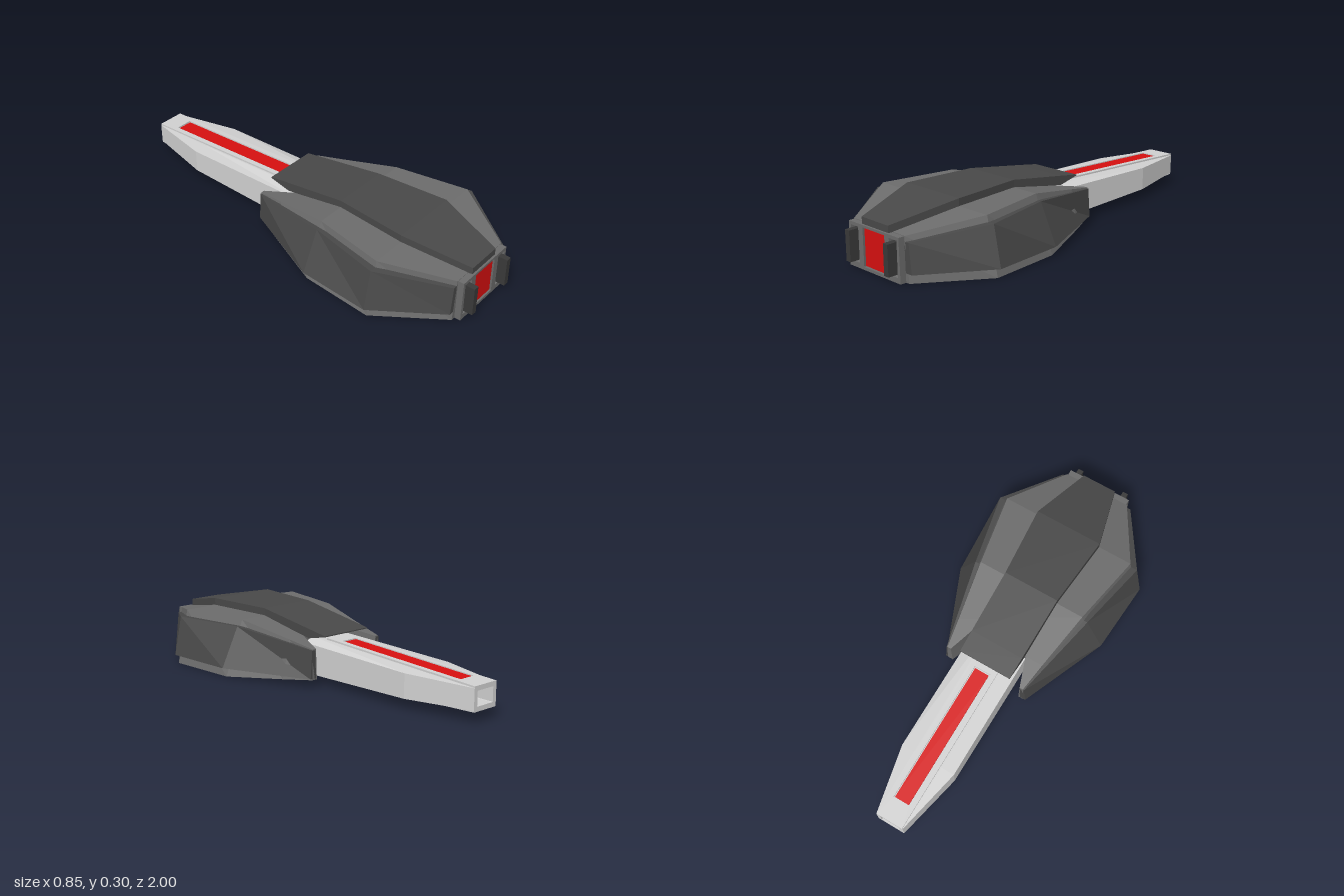
import * as THREE from 'three';

const mat = (name, color) => Object.assign(new THREE.MeshStandardMaterial({ color }), { name });

// Skin a list of [z, points] sections, front to back; points run counter-clockwise seen from the front.
function loft(sections) {
  const pos = [];
  const tri = (...pts) => pts.forEach((p) => pos.push(...p));
  const rings = sections.map(([z, pts]) => pts.map(([x, y]) => [x, y, z]));
  const n = rings[0].length;
  for (let i = 0; i < rings.length - 1; i++) {
    for (let j = 0; j < n; j++) {
      const k = (j + 1) % n, f = rings[i], b = rings[i + 1];
      tri(f[j], b[j], f[k]);
      tri(f[k], b[j], b[k]);
    }
  }
  const first = rings[0], last = rings[rings.length - 1];
  for (let j = 1; j < n - 1; j++) {
    tri(first[0], first[j], first[j + 1]);
    tri(last[0], last[j + 1], last[j]);
  }
  const geo = new THREE.BufferGeometry();
  geo.setAttribute('position', new THREE.Float32BufferAttribute(pos, 3));
  geo.computeVertexNormals();
  return geo;
}

const flip = (pts) => pts.map(([x, y]) => [-x, y]).reverse();
const flipSections = (s) => s.map(([z, pts]) => [z, flip(pts)]);
// Complete a symmetric section from its +x half, listed bottom to top.
const whole = (half) => [...half, ...flip(half)];

function rectPath(path, x0, y0, x1, y1) {
  path.moveTo(x0, y0);
  path.lineTo(x1, y0);
  path.lineTo(x1, y1);
  path.lineTo(x0, y1);
  path.closePath();
  return path;
}

export function createModel() {
  const group = new THREE.Group();
  const grey = mat('hull grey', 0x6c6c6c);
  const dark = mat('armour dark grey', 0x494949);
  const black = mat('fin charcoal', 0x3a3a3a);
  const light = mat('barrel light grey', 0xd2d2d2);
  const red = mat('glow red', 0xd81010);
  const add = (name, geo, material) => {
    const mesh = new THREE.Mesh(geo, material);
    mesh.name = name;
    group.add(mesh);
    return mesh;
  };

  // Main hull
  add('hull', loft([
    [0.93, whole([[0.19, 0], [0.17, 0.205]])],
    [0.63, whole([[0.405, 0], [0.345, 0.265]])],
    [0.27, whole([[0.38, 0], [0.28, 0.265]])],
    [-0.02, whole([[0.272, 0.027], [0.23, 0.211]])],
  ]), grey);

  // Prongs either side of the barrel
  const prong = [
    [-0.02, [[0.14, 0.027], [0.272, 0.027], [0.23, 0.211], [0.14, 0.211]]],
    [-0.16, [[0.185, 0.04], [0.213, 0.04], [0.208, 0.185], [0.19, 0.185]]],
  ];
  add('leftProng', loft(prong), grey);
  add('rightProng', loft(flipSections(prong)), grey);

  // Side armour
  const side = [
    [0.93, [[0.165, 0.042], [0.208, 0.042], [0.193, 0.18], [0.155, 0.18]]],
    [0.63, [[0.37, 0.045], [0.425, 0.045], [0.385, 0.235], [0.33, 0.235]]],
    [0.27, [[0.35, 0.045], [0.403, 0.045], [0.31, 0.235], [0.26, 0.235]]],
    [-0.16, [[0.19, 0.045], [0.223, 0.045], [0.213, 0.18], [0.195, 0.18]]],
  ];
  add('leftArmour', loft(side), dark);
  add('rightArmour', loft(flipSections(side)), dark);

  // Top armour, overhanging the barrel at the rear
  add('topArmour', loft([
    [0.95, 0.088, 0.2, 0.235],
    [0.63, 0.172, 0.26, 0.3],
    [0.27, 0.142, 0.26, 0.3],
    [-0.05, 0.137, 0.207, 0.252],
    [-0.16, 0.135, 0.23, 0.235],
  ].map(([z, w, y0, y1]) => [z, whole([[w, y0], [w, y1]])])), dark);

  // Front frame with a central window and two fin channels
  const frame = new THREE.Shape();
  [[-0.17, 0], [0.17, 0], [0.166, 0.203], [-0.166, 0.203]].forEach(([x, y], i) =>
    i ? frame.lineTo(x, y) : frame.moveTo(x, y));
  frame.holes.push(rectPath(new THREE.Path(), -0.073, 0.014, 0.073, 0.192));
  for (const s of [-1, 1]) {
    frame.holes.push(rectPath(new THREE.Path(), s * 0.128 - 0.025, 0.025, s * 0.128 + 0.025, 0.188));
  }
  const frameGeo = new THREE.ExtrudeGeometry(frame, { depth: 0.035, bevelEnabled: false });
  add('frontFrame', frameGeo.translate(0, 0, 0.925), grey);

  const panel = add('frontPanel', new THREE.BoxGeometry(0.136, 0.17, 0.025), red);
  panel.position.set(0, 0.103, 0.941);
  for (const s of [-1, 1]) {
    const fin = add(s > 0 ? 'leftFin' : 'rightFin', new THREE.BoxGeometry(0.028, 0.143, 0.075), black);
    fin.position.set(s * 0.128, 0.106, 0.9625);
  }

  // Barrel: tapering shell with a hollow muzzle
  const topY = (z) => 0.195 + (z + 0.16) * 0.0452;
  const botY = (z) => 0.02 - (z + 0.16) * 0.0476;
  const ring = (z, w, c, lo, hi) => whole([[c, botY(z)], [w, lo], [w, hi], [c, topY(z)]]);
  const muzzle = whole([[0.046, 0.074], [0.05, 0.075], [0.05, 0.142], [0.046, 0.143]]);
  add('barrel', loft([
    [0.05, ring(0.05, 0.14, 0.075, 0.035, 0.185)],
    [-0.67, ring(-0.67, 0.14, 0.075, 0.052, 0.166)],
    [-1, ring(-1, 0.07, 0.066, 0.06, 0.157)],
    [-1, muzzle],
    [-0.86, muzzle],
  ]), light);

  // Thin plate laid along the barrel slope, optionally slotted
  const plate = (w, z0, z1, thick, surface, lift, slot) => {
    const shape = rectPath(new THREE.Shape(), -w, -z0, w, -z1);
    if (slot) shape.holes.push(rectPath(new THREE.Path(), -0.042, 0.18, 0.042, 0.9));
    const geo = new THREE.ExtrudeGeometry(shape, { depth: thick, bevelEnabled: false });
    geo.rotateX(-Math.PI / 2);
    const p = geo.attributes.position;
    for (let i = 0; i < p.count; i++) p.setY(i, p.getY(i) + surface(p.getZ(i)) + lift);
    geo.computeVertexNormals();
    return geo;
  };
  add('upperSlotFrame', plate(0.068, -0.1, -1, 0.008, topY, 0, true), light);
  add('lowerSlotFrame', plate(0.068, -0.1, -1, 0.008, botY, -0.008, true), light);
  add('upperGlowStrip', plate(0.037, -0.187, -0.893, 0.005, topY, 0), red);
  add('lowerGlowStrip', plate(0.037, -0.187, -0.893, 0.005, botY, -0.005), red);

  return group;
}
